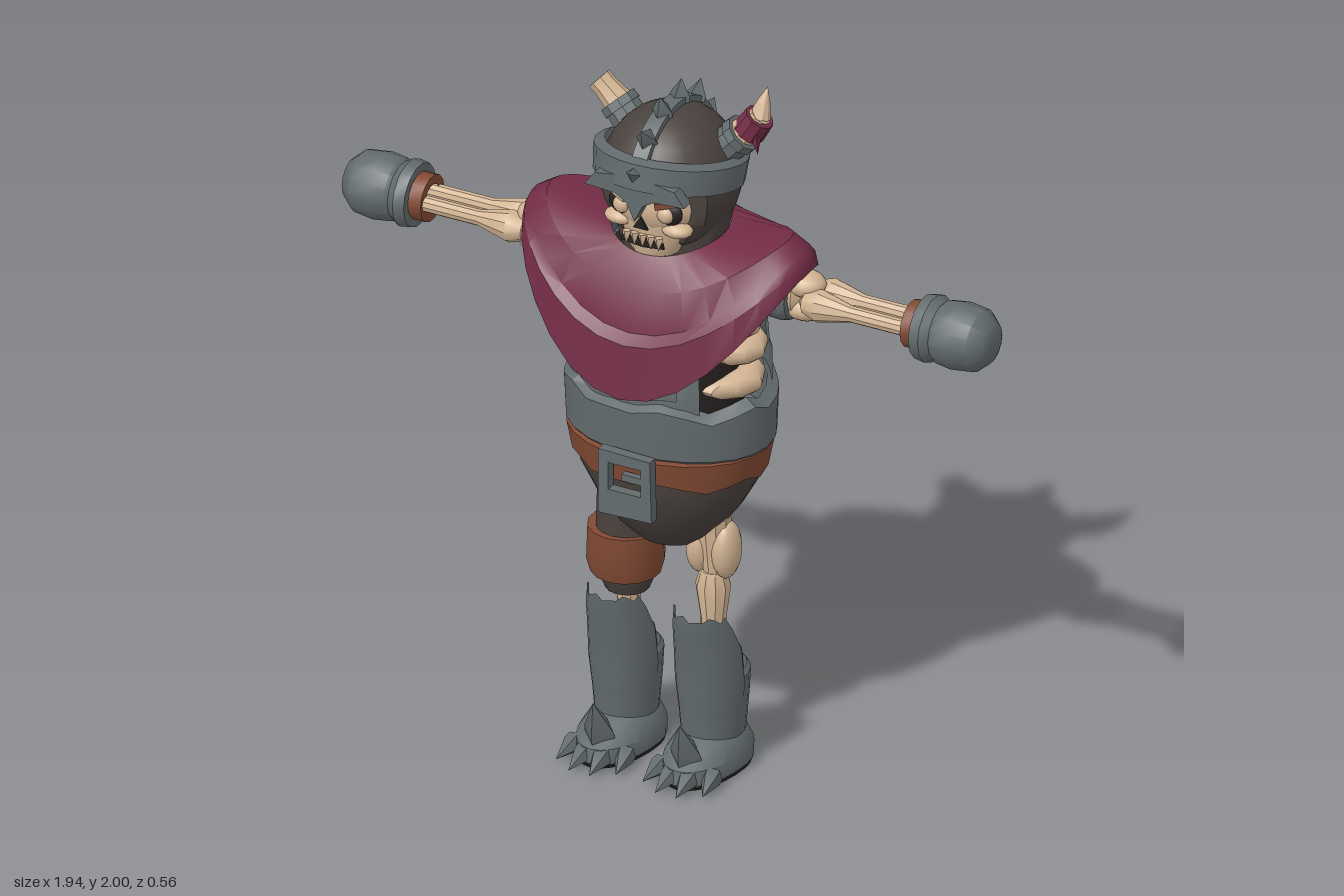
import * as THREE from 'three';
import { toCreasedNormals } from 'three/addons/utils/BufferGeometryUtils.js';

const mat = (name, color, side = THREE.FrontSide) => {
  const m = new THREE.MeshStandardMaterial({ color, side });
  m.name = name;
  return m;
};
const steel = mat('steel', 0x636b6d, THREE.DoubleSide);
const bone = mat('bone', 0xd2b493);
const wine = mat('wine cloth', 0x722c45);
const leather = mat('leather', 0x824a34);
const cloth = mat('dark cloth', 0x4a423e);
const shadow = mat('shadow', 0x24201f, THREE.DoubleSide);

const RAD = Math.PI / 180;
const V = (p) => new THREE.Vector3(...p);

export function createModel() {
  const model = new THREE.Group();
  model.name = 'armouredSkeleton';

  const add = (name, material, geo, pos = [0, 0, 0], scale = [1, 1, 1], rot = [0, 0, 0]) => {
    const m = new THREE.Mesh(toCreasedNormals(geo, 0.6), material);
    m.name = name;
    m.position.set(...pos);
    m.scale.set(...scale);
    m.rotation.set(...rot);
    model.add(m);
    return m;
  };
  const ball = (name, material, pos, scale) => add(name, material, new THREE.SphereGeometry(1, 14, 10), pos, scale);
  const box = (name, material, size, pos, rot) => add(name, material, new THREE.BoxGeometry(...size), pos, undefined, rot);

  // Skin through oval rings [y, rx, zFront, zBack, cz], listed upward; angle 0 is the front, 90 is +x.
  const loft = (rings, from = 0, to = 360, seg = 24) => {
    const pos = [], idx = [], w = seg + 1;
    rings.forEach(([y, rx, zf, zb = zf, cz = 0]) => {
      for (let j = 0; j <= seg; j++) {
        const a = (from + (to - from) * j / seg) * RAD, c = Math.cos(a);
        pos.push(rx * Math.sin(a), typeof y === 'function' ? y(a, j) : y, cz + c * (c > 0 ? zf : zb));
      }
    });
    for (let i = 0; i < rings.length - 1; i++) for (let j = 0; j < seg; j++) {
      const p = i * w + j;
      idx.push(p, p + 1, p + w + 1, p, p + w + 1, p + w);
    }
    const g = new THREE.BufferGeometry();
    g.setAttribute('position', new THREE.Float32BufferAttribute(pos, 3));
    g.setIndex(idx);
    return g;
  };
  // Turned shape from a to b, profile of [t, radius]
  const turned = (name, material, a, b, profile, sides = 10) => {
    const d = V(b).sub(V(a)), len = d.length();
    const g = new THREE.LatheGeometry(profile.map(([t, r]) => new THREE.Vector2(r, t * len)), sides);
    const m = add(name, material, g, a);
    m.quaternion.setFromUnitVectors(new THREE.Vector3(0, 1, 0), d.normalize());
    return m;
  };
  const spike = (name, material, a, b, r, sides = 4) => turned(name, material, a, b, [[0, 0], [0, r], [0.25, r], [1, 0]], sides);
  const plate = (name, material, pts, z, depth) => add(name, material,
    new THREE.ExtrudeGeometry(new THREE.Shape(pts.map(p => new THREE.Vector2(...p))), { depth, bevelEnabled: false }), [0, 0, z]);
  const jag = (y, h) => (a, j) => y + h * [0, 1, 0.3, -0.8, 0.2, 0.9, -0.4, 0][j % 8];

  // Hood with a flattened face opening
  const hood = new THREE.SphereGeometry(1, 24, 16).scale(0.187, 0.2, 0.2).translate(0, 1.715, -0.01);
  const hp = hood.attributes.position;
  for (let i = 0; i < hp.count; i++) if (hp.getY(i) < 1.78) hp.setZ(i, Math.min(hp.getZ(i), 0.1));
  add('helmetDome', cloth, hood);
  add('hoodSkirt', cloth, loft([[1.46, 0.13, 0.08, 0.12], [1.58, 0.16, 0.09, 0.17], [1.68, 0.18, 0.09, 0.2]]));

  // Helmet brim, crest and nose guard
  add('helmetBrim', steel, loft([[-0.035, 0.175, 0.18], [-0.042, 0.2, 0.21], [0.03, 0.206, 0.215], [0.042, 0.18, 0.18]]),
    [0, 1.76, -0.005], [1, 1, 1], [-0.22, 0, 0]);
  const arc = new THREE.Shape();
  arc.absarc(0, 0, 0.215, 0.3, Math.PI, false);
  arc.absarc(0, 0, 0.185, Math.PI, 0.3, true);
  add('helmetCrest', steel, new THREE.ExtrudeGeometry(arc, { depth: 0.045, bevelEnabled: false, curveSegments: 14 }),
    [-0.0225, 1.715, -0.01], [1, 1, 1], [0, -Math.PI / 2, 0]).position.x = 0.0225;
  for (let e = 24; e < 190; e += 26) {
    const at = (r) => [0, 1.715 + r * Math.sin(e * RAD), -0.01 + r * Math.cos(e * RAD)];
    spike('crestSpike', steel, at(0.2), at(0.262), 0.03);
  }
  plate('noseGuard', steel, [[-0.15, 1.74], [-0.06, 1.735], [-0.025, 1.715], [0, 1.665], [0.025, 1.715], [0.06, 1.735],
    [0.15, 1.74], [0.12, 1.78], [0, 1.8], [-0.12, 1.78]], 0.16, 0.035);

  // Horns: one broken, one whole with a cloth wrap
  for (const s of [-1, 1])
    turned('hornSleeve', steel, [s * 0.12, 1.79, -0.05], [s * 0.19, 1.86, -0.06], [[0, 0.055], [0.75, 0.05], [0.75, 0.056], [1, 0.054], [1, 0]]);
  turned('brokenHorn', bone, [-0.18, 1.85, -0.06], [-0.245, 1.91, -0.06], [[0, 0.042], [0.7, 0.034], [1, 0.035], [0.85, 0]], 8);
  turned('hornRoot', bone, [0.18, 1.85, -0.06], [0.236, 1.92, -0.068], [[0, 0.044], [1, 0.03], [1.05, 0]]);
  turned('hornTip', bone, [0.234, 1.915, -0.068], [0.248, 2, -0.085], [[0, 0.03], [0.5, 0.018], [1, 0]]);
  turned('hornWrap', wine, [0.203, 1.865, -0.062], [0.234, 1.915, -0.066], [[0, 0.03], [0, 0.046], [1, 0.042], [1, 0.02]]);
  spike('wrapTail', wine, [0.235, 1.88, -0.04], [0.245, 1.82, -0.035], 0.014);

  // Skull
  ball('skull', bone, [0, 1.68, 0.07], [0.13, 0.1, 0.09]);
  add('jaw', bone, loft([[1.53, 0.03, 0.03], [1.535, 0.07, 0.065], [1.58, 0.09, 0.075], [1.64, 0.1, 0.08]], 0, 360, 12), [0, 0, 0.07]);
  plate('mouth', shadow, [[-0.065, 1.575], [0, 1.567], [0.065, 1.575], [0.06, 1.592], [0, 1.6], [-0.06, 1.592]], 0.145, 0.006);
  plate('noseHole', shadow, [[-0.022, 1.627], [0.022, 1.627], [0, 1.662]], 0.156, 0.007);
  for (const s of [-1, 1]) {
    ball('cheekbone', bone, [s * 0.085, 1.625, 0.115], [0.045, 0.022, 0.035]);
    ball('eyeSocket', shadow, [s * 0.066, 1.678, 0.132], [0.045, 0.036, 0.018]);
    ball('eye', bone, [s * 0.066, 1.676, 0.142], [0.025, 0.025, 0.02]);
    box('brow', s > 0 ? leather : bone, [0.075, 0.018, 0.03], [s * 0.075, 1.713, 0.142], [0, s * 0.4, s * 0.2]);
  }
  for (let i = -2; i <= 2; i++) spike('tooth', bone, [i * 0.024, 1.605, 0.148], [i * 0.024, 1.565, 0.15], 0.013);

  // Cape: inner lining, hem, soft fold and neckline
  const drape = (side, front, back) => (a) => {
    const c = Math.cos(a);
    return side - (side - (c > 0 ? front : back)) * c * c;
  };
  add('cape', wine, loft([
    [drape(1.54, 1.42, 1.46), 0.2, 0.15, 0.16], [drape(1.515, 1.185, 1.295), 0.39, 0.245, 0.25],
    [drape(1.53, 1.17, 1.28), 0.42, 0.278, 0.28], [drape(1.56, 1.32, 1.42), 0.415, 0.255, 0.255],
    [drape(1.58, 1.345, 1.44), 0.4, 0.225, 0.235], [drape(1.607, 1.46, 1.52), 0.355, 0.2, 0.2],
    [drape(1.575, 1.54, 1.6), 0.16, 0.14, 0.17]], 0, 360, 32));

  // Cuirass, open on the left flank over ribs
  add('cuirass', steel, loft([[1.08, 0.28, 0.19, 0.235], [1.21, 0.28, 0.195, 0.24], [1.23, 0.265, 0.185, 0.23],
    [1.42, 0.25, 0.165, 0.21], [1.52, 0.2, 0.12, 0.16]], 118, 398));
  add('chestPlate', steel, loft([[jag(1.15, 0.025), 0.29, 0.205, 0.25], [jag(1.29, 0.025), 0.278, 0.195, 0.24]], 240, 385, 16));
  add('backPlate', steel, loft([[jag(1.2, 0.015), 0.272, 0.2, 0.245], [1.36, 0.262, 0.19, 0.228]], 122, 225, 10));
  add('waistPlate', steel, loft([[0.95, 0.27, 0.19, 0.235], [0.975, 0.293, 0.21, 0.255], [jag(1.1, 0.018), 0.298, 0.215, 0.258],
    [jag(1.12, 0.018), 0.265, 0.18, 0.23]]));
  box('backTab', steel, [0.06, 0.1, 0.02], [-0.14, 1.1, -0.235], [0, 0.5, 0.1]);
  add('torsoHollow', shadow, loft([[1.06, 0.2, 0.15, 0.19], [1.3, 0.2, 0.14, 0.18], [1.5, 0.16, 0.1, 0.13], [1.5, 0.001, 0.001]]));
  [[1.335, 0.01, 0.125], [1.25, -0.015, 0.105], [1.16, 0, 0.125]].forEach(([y, z, l]) => {
    const g = new THREE.SphereGeometry(1, 10, 10).scale(0.045, 0.036, l);
    const p = g.attributes.position;
    for (let i = 0; i < p.count; i++) p.setX(i, p.getX(i) - 4 * p.getZ(i) ** 2);
    add('rib', bone, g, [0.232, y, z]);
  });

  // Belt and buckle
  add('belt', leather, loft([[0.9, 0.25, 0.18, 0.22], [jag(0.885, 0.012), 0.272, 0.21, 0.238], [0.965, 0.288, 0.222, 0.25], [0.975, 0.26, 0.18, 0.22]]));
  const frame = new THREE.Shape([[-0.08, -0.095], [0.08, -0.09], [0.075, 0.09], [-0.08, 0.095]].map(p => new THREE.Vector2(...p)));
  frame.holes.push(new THREE.Path([[-0.05, -0.02], [-0.05, 0.06], [0.048, 0.06], [0.048, -0.02]].map(p => new THREE.Vector2(...p))));
  add('buckle', steel, new THREE.ExtrudeGeometry(frame, { depth: 0.03, bevelEnabled: false }), [0, 0.895, 0.217]);
  box('buckleTongue', steel, [0.06, 0.02, 0.02], [0.02, 0.92, 0.236]);

  // Breeches
  add('breeches', cloth, loft([[0.637, 0.001, 0.001], [0.645, 0.09, 0.075], [0.69, 0.145, 0.115, 0.125], [0.77, 0.205, 0.16, 0.185],
    [0.85, 0.25, 0.188, 0.22], [0.93, 0.27, 0.19, 0.23]]));

  // Right leg: cloth, leather band and shin bone
  turned('thigh', cloth, [-0.13, 0.45, -0.005], [-0.13, 0.8, -0.005], [[0, 0.06], [0.15, 0.08], [0.5, 0.085], [1, 0.08]], 14);
  turned('kneeBand', leather, [-0.135, 0.5, -0.005], [-0.135, 0.635, -0.005], [[0, 0.08], [0, 0.095], [0.3, 0.106], [1, 0.103], [1, 0.08]], 14);
  turned('rightShinBone', bone, [-0.13, 0.2, -0.02], [-0.13, 0.47, -0.01], [[0, 0.032], [0.8, 0.032], [1, 0.042]]);

  // Left leg: bare bones
  turned('thighBone', bone, [0.13, 0.75, 0], [0.135, 0.55, 0], [[0, 0.03], [0.1, 0.05], [1, 0.03]]);
  ball('kneeKnob', bone, [0.093, 0.63, -0.005], [0.04, 0.08, 0.052]);
  ball('kneeKnob', bone, [0.168, 0.635, -0.005], [0.038, 0.085, 0.052]);
  turned('shinBone', bone, [0.13, 0.58, 0], [0.13, 0.2, -0.005], [[0, 0], [0.03, 0.035], [0.15, 0.048], [0.4, 0.035], [1, 0.03]]);
  turned('calfBone', bone, [0.13, 0.57, -0.035], [0.13, 0.2, -0.04], [[0, 0], [0.04, 0.025], [0.3, 0.016], [1, 0.016]], 8);

  for (const s of [-1, 1]) {
    // Boots with shin guards, claws and instep spike
    const x = s * 0.13;
    add('sole', shadow, loft([[0, 0.001, 0.001], [0, 0.1, 0.2, 0.11], [0.018, 0.105, 0.21, 0.118]]), [x, 0, 0]);
    add('bootFoot', steel, loft([[0.015, 0.105, 0.21, 0.118], [0.055, 0.105, 0.2, 0.12], [0.09, 0.086, 0.13, 0.108], [0.11, 0.07, 0.08]]), [x, 0, 0]);
    add('bootShaft', steel, loft([[0.08, 0.082, 0.09, 0.1], [0.2, 0.092, 0.1, 0.11], [0.27, 0.096, 0.105, 0.112], [0.285, 0.085, 0.09, 0.1]]), [x, 0, 0]);
    add('bootLining', cloth, loft([[0.26, 0.082, 0.085], [0.325, 0.075, 0.075, 0.08], [0.31, 0.001, 0.001]]), [x, 0, 0]);
    add('shinGuard', steel, loft([[0.12, 0.084, 0.092], [0.25, 0.098, 0.108], [0.36, 0.096, 0.1, 0.1, 0.015],
      [0.43, 0.086, 0.085, 0.085, 0.045], [jag(0.472, 0.012), 0.074, 0.065, 0.065, 0.068]], -88, 88, 12), [x, 0, 0]);
    spike('instepSpike', steel, [x, 0.06, 0.14], [x, 0.185, 0.185], 0.045);
    [-0.075, -0.026, 0.026, 0.075].forEach((o) => {
      const z = 0.18 - 8 * o * o;
      spike('toeClaw', steel, [x + o, 0.035, z], [x + o * 1.2, 0.012, z + 0.088], 0.027, 5);
    });

    // Arms: sleeve, paired forearm bones, cuff and gauntlet
    const arm = (name, m, x0, x1, r, prof, z = -0.012, sides = 14) =>
      turned(name, m, [s * x0, 1.45, z], [s * x1, 1.45, z], prof.map(([t, k]) => [t, k * r]), sides);
    arm('sleeve', steel, 0.18, 0.375, 0.08, [[0, 0.9], [0.9, 1], [1, 0.9], [1, 0]]);
    arm('upperArmBone', bone, 0.33, 0.42, 0.055, [[0, 0.8], [0.6, 1], [1, 0]]);
    for (const y of [-1, 1]) ball('elbowKnob', bone, [s * 0.4, 1.452 + y * 0.035, -0.012], [0.06, 0.036, 0.05]);
    for (const z of [-0.05, 0.022]) arm('forearmBone', bone, 0.4, 0.75, 0.045, [[0, 0], [0.06, 0.7], [0.18, 1], [0.32, 0.75], [0.45, 0.5], [1, 0.5]], z, 10);
    arm('wristStrap', leather, 0.72, 0.775, 0.066, [[0, 0.6], [0, 1], [1, 1]]);
    arm('gauntletCuff', steel, 0.758, 0.82, 0.094, [[0, 0.6], [0, 0.95], [0.5, 1], [1, 0.8]]);
    arm('fist', steel, 0.8, 0.97, 0.094, [[0, 0.75], [0.12, 0.93], [0.4, 1], [0.75, 0.92], [0.95, 0.6], [1, 0.4], [1, 0]]);
  }
  return model;
}
